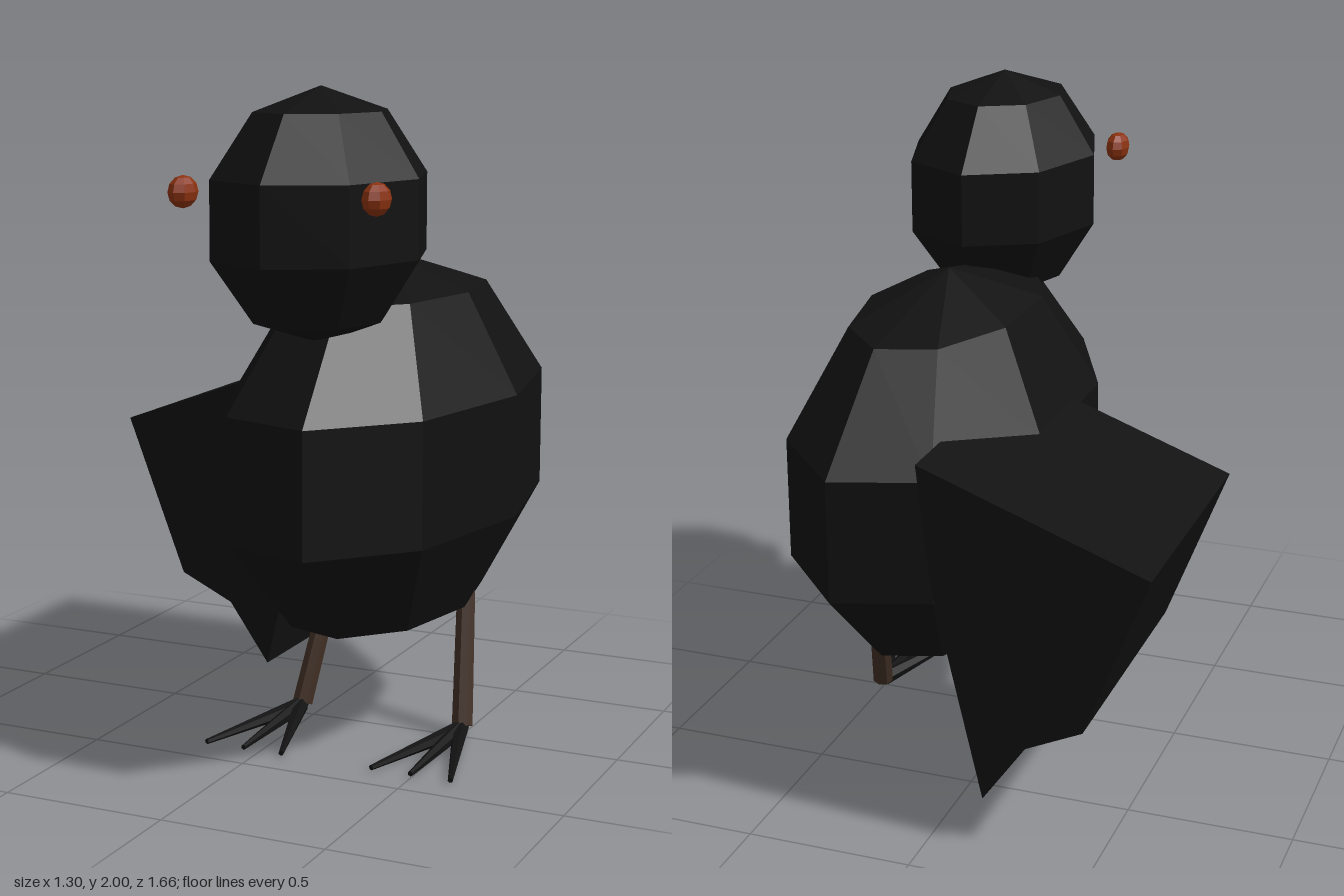
import * as THREE from 'three';

const black = new THREE.MeshStandardMaterial({ color: 0x111111 });
black.name = 'black';
const brown = new THREE.MeshStandardMaterial({ color: 0x3f2e23 });
brown.name = 'bark brown';
const rust = new THREE.MeshStandardMaterial({ color: 0x8b3210 });
rust.name = 'rust orange';

const MID = 0.228; // centre line of the bird's body

// Faceted mesh: every face keeps its own normal
function faceted(name, geometry, material) {
  const g = geometry.index ? geometry.toNonIndexed() : geometry;
  g.computeVertexNormals();
  const mesh = new THREE.Mesh(g, material);
  mesh.name = name;
  return mesh;
}

// Low-poly ellipsoid with a vertex column on +x
function ball(name, material, cols, rows, size, pos) {
  const g = new THREE.SphereGeometry(1, cols, rows, Math.PI);
  g.scale(...size);
  const mesh = faceted(name, g, material);
  mesh.position.set(...pos);
  return mesh;
}

// Tapered rod between two points
function rod(name, material, from, to, r0, r1, sides) {
  const a = new THREE.Vector3(...from);
  const b = new THREE.Vector3(...to);
  const dir = b.clone().sub(a);
  const mesh = faceted(name, new THREE.CylinderGeometry(r1, r0, dir.length(), sides), material);
  mesh.position.copy(a).add(b).multiplyScalar(0.5);
  mesh.quaternion.setFromUnitVectors(new THREE.Vector3(0, 1, 0), dir.normalize());
  return mesh;
}

export function createModel() {
  const bird = new THREE.Group();
  bird.name = 'bird';

  // Body and head
  bird.add(ball('body', black, 9, 5, [0.439, 0.602, 0.827], [MID, 0.888, -0.055]));
  bird.add(ball('head', black, 8, 5, [0.313, 0.363, 0.407], [MID, 1.637, 0.44]));

  // Wing: a thick slab drawn in the front plane and pushed backwards
  const outline = [
    [0.03, 1.16], [-0.65, 0.912], [-0.46, 0.42], [-0.29, 0.34], [-0.16, 0.155], [-0.01, 0.8],
  ].map(([x, y]) => new THREE.Vector2(x, y));
  const slab = new THREE.ExtrudeGeometry(new THREE.Shape(outline), { depth: 0.83, bevelEnabled: false });
  slab.translate(0, 0, -0.825);
  bird.add(faceted('wing', slab, black));

  // Paired eyes, legs and feet, mirrored about the body's centre line
  for (const side of [-1, 1]) {
    const label = side > 0 ? 'left' : 'right';
    const at = (dx) => MID + side * dx;

    bird.add(ball(label + 'Eye', rust, 8, 6, [0.038, 0.046, 0.057], [at(0.29), 1.715, 0.717]));
    bird.add(rod(label + 'Leg', brown,
      [at(0.272), 0.035, -0.012], [at(0.225), 0.435, -0.155], 0.034, 0.03, 8));

    const foot = new THREE.Group();
    foot.name = label + 'Foot';
    for (const spread of [-0.125, 0, 0.125]) {
      foot.add(rod('toe', black,
        [at(0.272), 0.03, 0], [at(0.272 + spread), 0.017, 0.405], 0.026, 0.008, 6));
    }
    bird.add(foot);
  }
  return bird;
}
